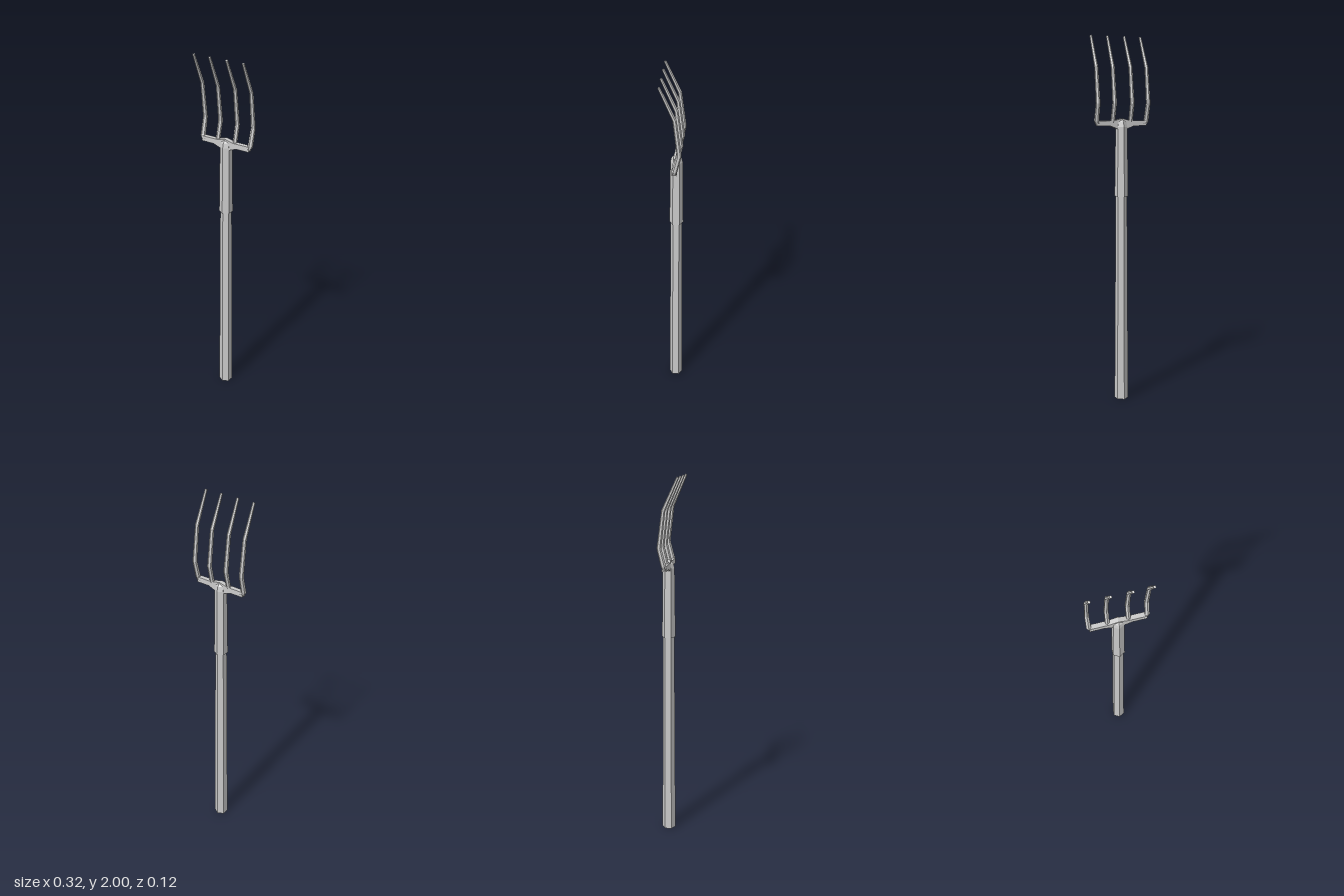
import * as THREE from 'three';

const Z = -0.02; // depth of the shaft axis
const material = new THREE.MeshStandardMaterial({ color: 0xcccccc, flatShading: true });

function addMesh(parent, name, geometry) {
  const mesh = new THREE.Mesh(geometry, material);
  mesh.name = name;
  parent.add(mesh);
  return mesh;
}

// Sweeps a six-sided section along mitred points [x, y, z, radius], with capped ends
function sweep(path, sides = 6) {
  const pts = path.map(p => new THREE.Vector3(p[0], p[1], p[2]));
  const last = pts.length - 1;
  const positions = [], index = [];
  const front = new THREE.Vector3(0, 0, 1);
  pts.forEach((p, i) => {
    const before = pts[Math.max(i - 1, 0)], after = pts[Math.min(i + 1, last)];
    const tangent = new THREE.Vector3();
    if (i > 0) tangent.add(p.clone().sub(before).normalize());
    if (i < last) tangent.add(after.clone().sub(p).normalize());
    tangent.normalize();
    const u = front.clone().addScaledVector(tangent, -front.dot(tangent)).normalize();
    const v = tangent.clone().cross(u);
    for (let k = 0; k < sides; k++) {
      const a = (k / sides) * Math.PI * 2;
      const q = p.clone().addScaledVector(u, Math.cos(a) * path[i][3]).addScaledVector(v, Math.sin(a) * path[i][3]);
      positions.push(q.x, q.y, q.z);
    }
  });
  for (let i = 0; i < last; i++) {
    for (let k = 0; k < sides; k++) {
      const a = i * sides + k, b = i * sides + (k + 1) % sides;
      index.push(a, b, a + sides, b, b + sides, a + sides);
    }
  }
  const end = last * sides;
  for (let k = 1; k < sides - 1; k++) {
    index.push(0, k + 1, k, end, end + k, end + k + 1);
  }
  const geometry = new THREE.BufferGeometry();
  geometry.setAttribute('position', new THREE.Float32BufferAttribute(positions, 3));
  geometry.setIndex(index);
  geometry.computeVertexNormals();
  return geometry;
}

export function createModel() {
  const group = new THREE.Group();
  group.name = 'pitchfork';

  // Tapered wooden shaft
  const handle = addMesh(group, 'handle', new THREE.CylinderGeometry(0.031, 0.038, 1.16, 6));
  handle.position.set(0, 0.58, Z);

  // Metal socket with a chamfered top
  const socketProfile = [[0, 1.14], [0.037, 1.14], [0.032, 1.515], [0.026, 1.54], [0.012, 1.555], [0, 1.557]];
  const socket = addMesh(group, 'socket',
    new THREE.LatheGeometry(socketProfile.map(p => new THREE.Vector2(...p)), 6));
  socket.position.z = Z;

  // Crossbar, thickened where it meets the socket
  const outline = [[-0.145, 1.52], [-0.07, 1.52], [-0.03, 1.505], [0.03, 1.505], [0.07, 1.52], [0.145, 1.52],
    [0.145, 1.548], [0.05, 1.548], [0, 1.56], [-0.05, 1.548], [-0.145, 1.548]];
  const barShape = new THREE.Shape(outline.map(p => new THREE.Vector2(...p)));
  const bar = addMesh(group, 'crossbar', new THREE.ExtrudeGeometry(barShape, { depth: 0.026, bevelEnabled: false }));
  bar.position.z = Z - 0.013;

  // Four curved tines; the outer pair turns out of the crossbar ends
  for (const side of [-1, 1]) {
    const bends = x => [
      [side * x, 1.64, -0.046, 0.0125],
      [side * x, 1.83, -0.023, 0.0105],
      [side * (x - 0.002), 1.996, 0.051, 0.007],
    ];
    addMesh(group, 'innerTine', sweep([[side * 0.053, 1.53, Z, 0.012], ...bends(0.052)]));
    addMesh(group, 'outerTine', sweep([
      [side * 0.115, 1.534, Z, 0.013],
      [side * 0.14, 1.534, Z, 0.014],
      [side * 0.147, 1.548, -0.023, 0.014],
      ...bends(0.148),
    ]));
  }
  return group;
}
